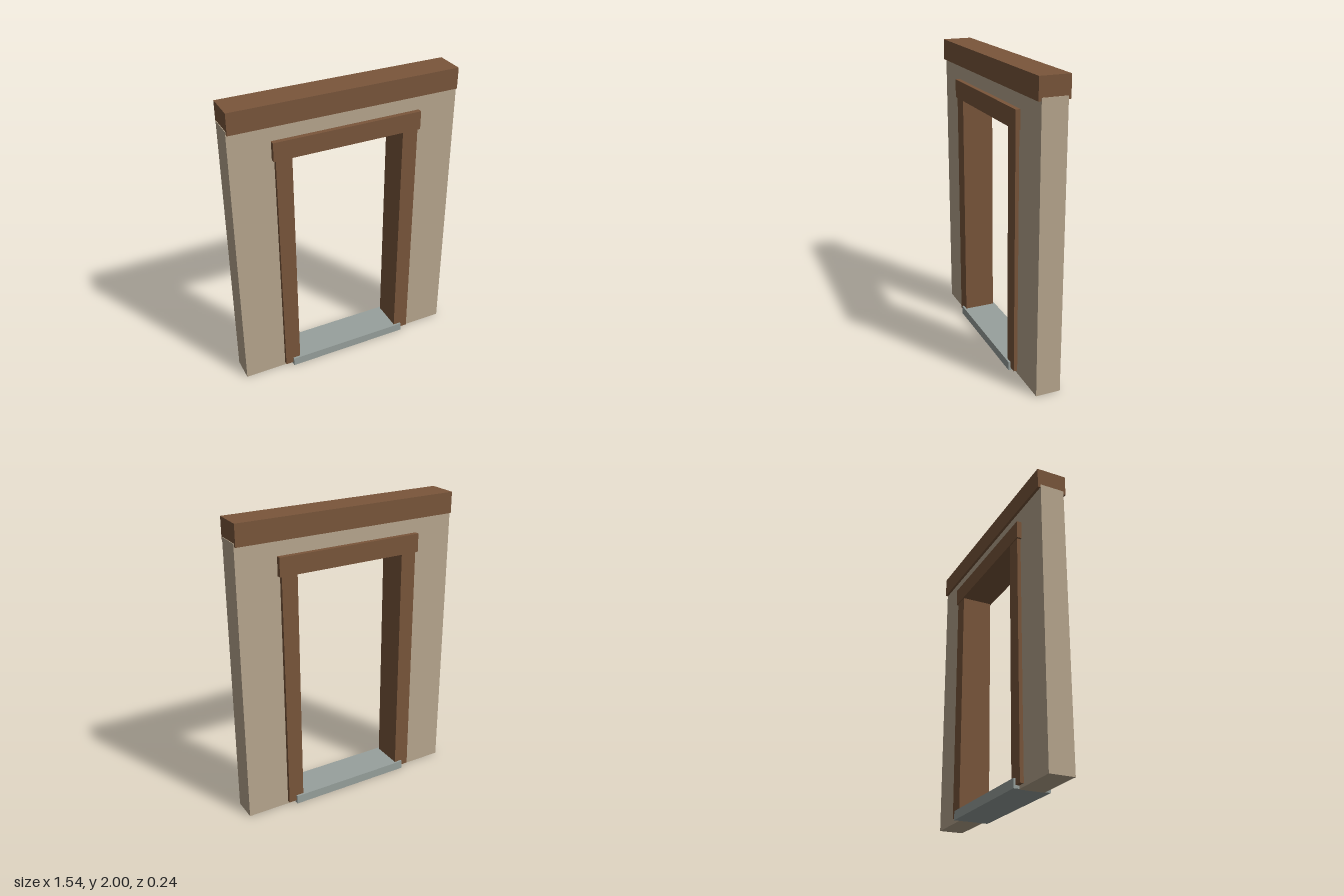
import * as THREE from 'three';

const material = (color) => new THREE.MeshStandardMaterial({ color });

export function createModel() {
  const group = new THREE.Group();
  const plaster = material(0xb8a78f);
  const wood = material(0x7a563b);
  const stone = material(0x98a19d);

  const addBox = (name, mat, width, bottom, top, depth, x = 0) => {
    const mesh = new THREE.Mesh(new THREE.BoxGeometry(width, top - bottom, depth), mat);
    mesh.position.set(x, (bottom + top) / 2, 0);
    mesh.name = name;
    group.add(mesh);
  };

  // Wall: one slab with a doorway cut up from the ground
  const outline = [
    [-0.77, 0], [-0.42, 0], [-0.42, 1.68], [0.42, 1.68],
    [0.42, 0], [0.77, 0], [0.77, 1.88], [-0.77, 1.88],
  ].map(([x, y]) => new THREE.Vector2(x, y));
  const wallDepth = 0.165;
  const wallGeometry = new THREE.ExtrudeGeometry(new THREE.Shape(outline), {
    depth: wallDepth, bevelEnabled: false,
  });
  wallGeometry.translate(0, 0, -wallDepth / 2);
  const wall = new THREE.Mesh(wallGeometry, plaster);
  wall.name = 'wall';
  group.add(wall);

  // Beam capping the wall
  addBox('topBeam', wood, 1.532, 1.86, 2, 0.2);

  // Door frame, standing proud of the wall on both faces
  for (const [name, side] of [['leftJamb', 1], ['rightJamb', -1]]) {
    addBox(name, wood, 0.106, 0.02, 1.645, 0.214, side * 0.432);
  }
  addBox('lintel', wood, 1, 1.64, 1.763, 0.228);

  // Threshold
  addBox('threshold', stone, 0.862, 0, 0.06, 0.24);

  return group;
}
